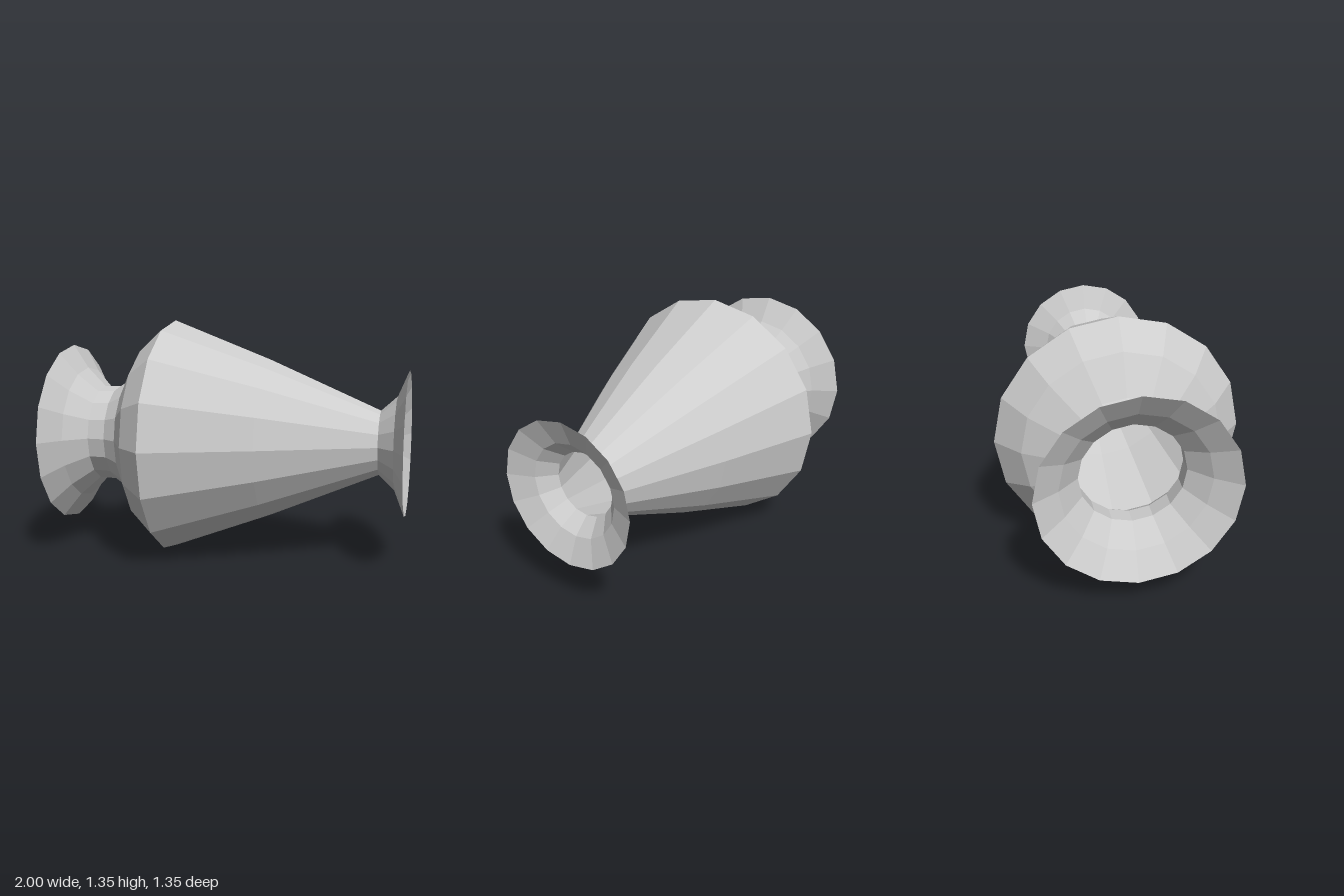
import * as THREE from 'three';

const SIDES = 16;
const AXIS_HEIGHT = 0.675;

// Each section is an open thin shell: [position along x, radius]
const SECTIONS = {
  wideFlare: [[-1, 0.525], [-0.91, 0.39], [-0.8, 0.28]],
  throatAndShoulder: [[-0.8, 0.28], [-0.7, 0.283], [-0.615, 0.335], [-0.5, 0.54], [-0.35, 0.675]],
  taperedBody: [[-0.35, 0.675], [0.22, 0.455], [0.85, 0.182]],
  narrowFlare: [[0.85, 0.182], [0.94, 0.265], [1, 0.41]],
};

export function createModel() {
  const grey = new THREE.MeshStandardMaterial({ color: 0xcccccc, flatShading: true, side: THREE.DoubleSide });
  grey.name = 'light grey';

  const model = new THREE.Group();
  model.name = 'hollowVessel';

  for (const [name, profile] of Object.entries(SECTIONS)) {
    const points = profile.map(([x, r]) => new THREE.Vector2(r, x));
    const geometry = new THREE.LatheGeometry(points, SIDES);
    // Lay the turning axis along x
    geometry.rotateZ(-Math.PI / 2);
    const mesh = new THREE.Mesh(geometry, grey);
    mesh.name = name;
    mesh.position.y = AXIS_HEIGHT;
    model.add(mesh);
  }
  return model;
}
